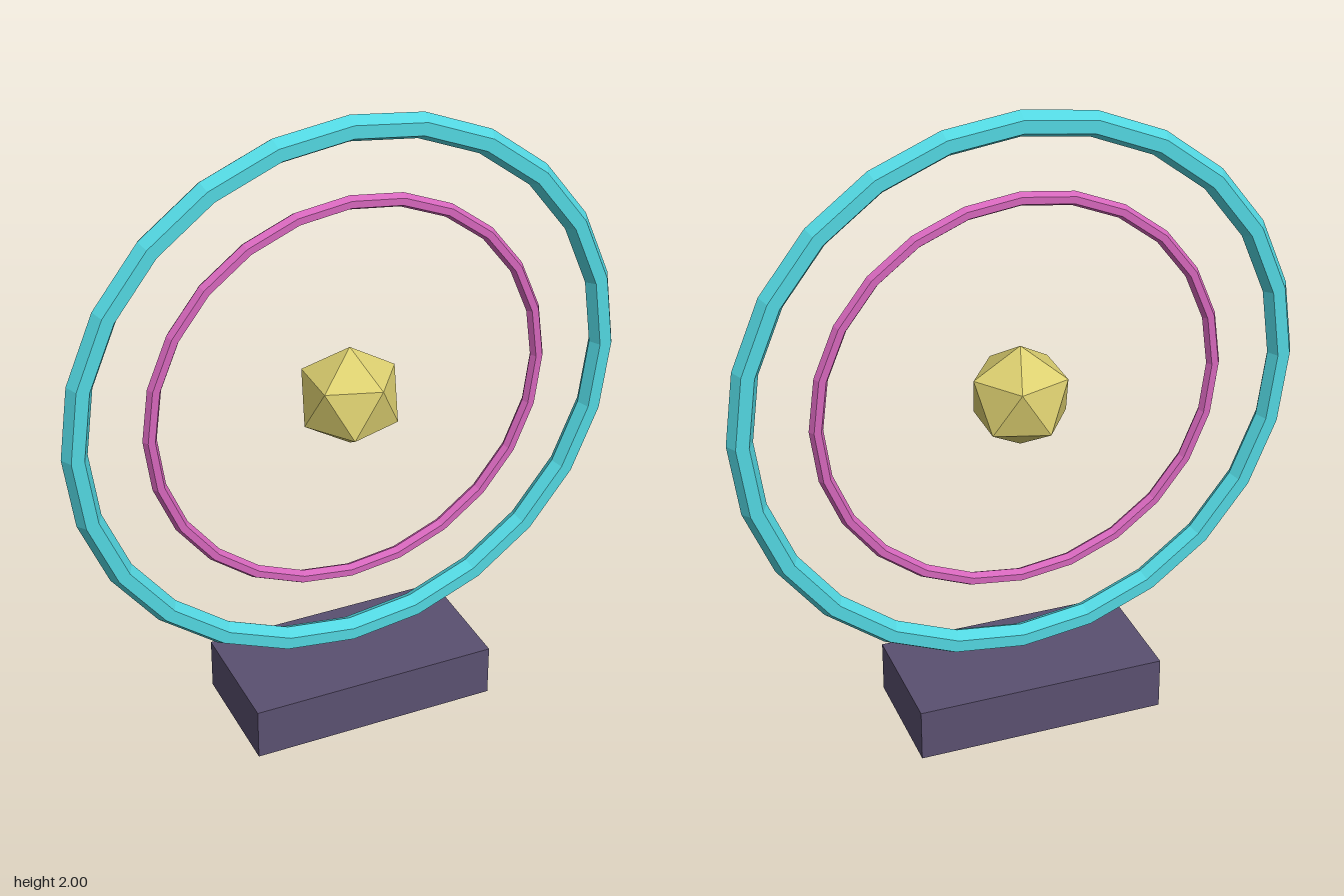
import * as THREE from 'three';

const CENTER_Y = 1.1;

function material(name, color) {
  const m = new THREE.MeshStandardMaterial({ color, flatShading: true });
  m.name = name;
  return m;
}

export function createModel() {
  const group = new THREE.Group();
  group.name = 'ringPortal';

  const add = (name, geometry, mat, y) => {
    const mesh = new THREE.Mesh(geometry, mat);
    mesh.name = name;
    mesh.position.y = y;
    group.add(mesh);
    return mesh;
  };

  // Pedestal block
  add('base', new THREE.BoxGeometry(0.8, 0.17, 0.4), material('slatePurple', 0x5a5070), 0.085);

  // Two concentric floating rings with hexagonal sections
  add('outerRing', new THREE.TorusGeometry(0.86, 0.04, 6, 24), material('cyan', 0x52d6e0), CENTER_Y);
  add('innerRing', new THREE.TorusGeometry(0.633, 0.022, 6, 24), material('pink', 0xd566bb), CENTER_Y);

  // Faceted core, turned so that one corner points straight up
  const core = add('core', new THREE.IcosahedronGeometry(0.165, 0), material('gold', 0xdccf70), CENTER_Y);
  core.rotation.z = -Math.atan(2 / (1 + Math.sqrt(5)));

  return group;
}
